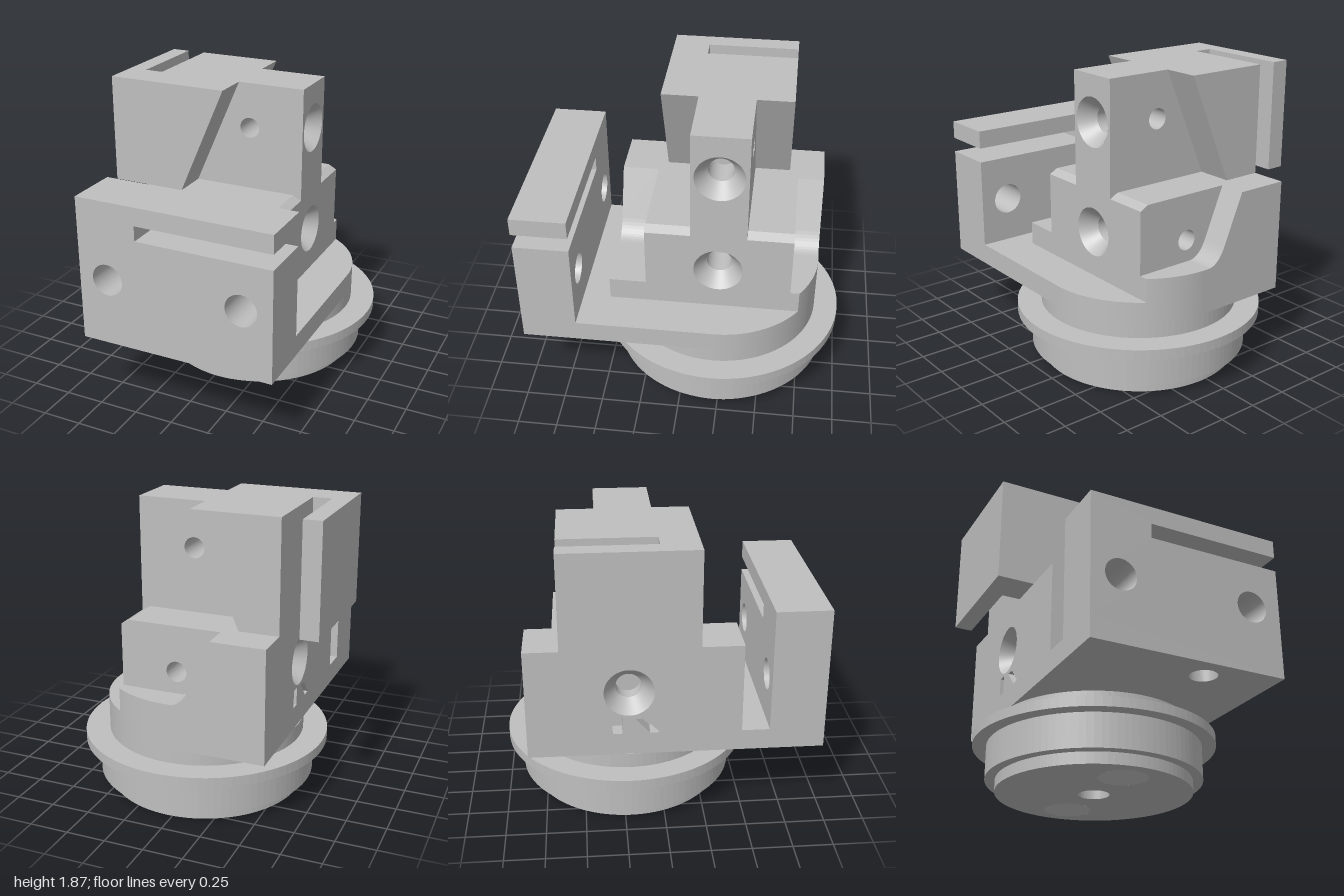
import * as THREE from 'three';

export function createModel() {
  const model = new THREE.Group();
  model.name = 'clampMount';
  const metal = new THREE.MeshStandardMaterial({ color: 0xbfbfbf, side: THREE.DoubleSide });
  metal.name = 'plain grey';

  const CX = 0.035, CZ = -0.215;      // axis of the round base
  const R = 0.63, SINK = 0.155, BORE = 0.08, PIN = 0.065;

  const add = (name, geometry) => {
    const mesh = new THREE.Mesh(geometry, metal);
    mesh.name = name;
    model.add(mesh);
    return mesh;
  };
  const poly = (pts) => new THREE.Shape(pts.map(([a, b]) => new THREE.Vector2(a, b)));
  const rect = (a0, a1, b0, b1) => poly([[a0, b0], [a1, b0], [a1, b1], [a0, b1]]);
  const disc = (a, b, r) => new THREE.Shape().absarc(a, b, r, 0, Math.PI * 2, false);
  const cut = (shape, ...holes) => { shape.holes.push(...holes); return shape; };
  const extrude = (shape, depth) =>
    new THREE.ExtrudeGeometry(shape, { depth, bevelEnabled: false, curveSegments: 48 });

  // Extrusions along each axis; shapes for X and Y use -z as a coordinate
  const alongZ = (name, shape, z0, z1) => add(name, extrude(shape, z1 - z0).translate(0, 0, z0));
  const alongY = (name, shape, y0, y1) =>
    add(name, extrude(shape, y1 - y0).rotateX(-Math.PI / 2).translate(0, y0, 0));
  const alongX = (name, shape, x0, x1) =>
    add(name, extrude(shape, x1 - x0).rotateY(Math.PI / 2).translate(x0, 0, 0));
  const box = (name, x0, x1, y0, y1, z0, z1) => alongZ(name, rect(x0, x1, y0, y1), z0, z1);
  const cone = (name, depth, rx, rz, x, y, z) =>
    add(name, new THREE.CylinderGeometry(SINK, BORE, depth, 48, 1, true)
      .rotateX(rx).rotateZ(rz).translate(x, y, z));

  // Round stepped base with screw holes underneath
  const baseHoles = (r) => [disc(CX, -CZ, 0.1), disc(CX, -CZ + 0.4, r), disc(CX, -CZ - 0.4, r)];
  alongY('baseFoot', cut(disc(CX, -CZ, R), ...baseHoles(SINK)), 0, 0.075);
  alongY('baseDrum', cut(disc(CX, -CZ, 0.695), ...baseHoles(BORE)), 0.075, 0.295);
  alongY('baseFlange', disc(CX, -CZ, 0.785), 0.295, 0.36);
  alongY('baseNeck', disc(CX, -CZ, R), 0.36, 0.455);
  for (const s of [-1, 1]) cone('baseCountersink', 0.075, Math.PI, 0, CX, 0.0375, CZ + s * 0.4);

  // Floor slab, rounded at one back corner
  const floor = new THREE.Shape();
  floor.moveTo(-0.59, -1);
  floor.lineTo(0.665, -1);
  floor.lineTo(0.665, -CZ);
  floor.absarc(CX, -CZ, R, 0, Math.PI / 2, false);
  floor.lineTo(-0.59, 0.845);
  floor.closePath();
  alongY('floorSlab', cut(floor, disc(0.22, -0.83, 0.085)), 0.455, 0.59);

  // Front clamp plate with a slit and two holes
  const plate = poly([[-0.59, 0.59], [0.665, 0.59], [0.665, 1.17], [-0.2, 1.17],
    [-0.2, 1.265], [0.665, 1.265], [0.665, 1.38], [-0.59, 1.38]]);
  alongZ('frontPlate', cut(plate, disc(-0.4, 0.88, 0.1), disc(0.47, 0.88, 0.1)), 0.655, 1);

  // Middle block, sliced so the bores can meet
  const MY = 0.88, TY = 1.575;
  alongZ('middleCore', cut(rect(-0.4, 0.12, 0.59, 1.17), disc(CX, MY, PIN)), -0.675, 0.245);
  alongX('middleBore', cut(rect(-0.245, 0.675, 0.59, 1.17), disc(-CZ, MY, BORE)), 0.12, 0.295);
  alongX('middleFace', cut(rect(-0.245, 0.675, 0.59, 1.14), disc(-CZ, MY, SINK)), 0.295, 0.395);
  alongZ('middleChamfer', poly([[0.295, 1.14], [0.395, 1.14], [0.34, 1.17], [0.295, 1.17]]), -0.675, 0.245);
  cone('middleCountersink', 0.1, 0, -Math.PI / 2, 0.345, MY, CZ);

  // Left wall of the middle block, with its bore and two narrow slots
  const leftWall = cut(rect(-0.48, 0.845, 0.59, 1.17), disc(-CZ, MY, SINK),
    rect(0.26, 0.32, 0.6, 0.715), poly([[0.03, 0.6], [0.09, 0.6], [0.18, 0.7], [0.12, 0.7]]));
  alongX('leftWall', leftWall, -0.59, -0.49);
  alongX('leftBore', cut(rect(-0.48, 0.845, 0.59, 1.17), disc(-CZ, MY, BORE)), -0.49, -0.4);
  cone('leftCountersink', 0.1, 0, Math.PI / 2, -0.54, MY, CZ);

  // Sloping wings either side, running into low ledges
  for (const [z0, z1] of [[-0.845, -0.675], [0.245, 0.48]]) {
    const wing = new THREE.Shape();
    wing.moveTo(-0.4, 0.59);
    wing.lineTo(CX, 0.59);
    wing.lineTo(CX, 0.74);
    wing.lineTo(0.01, 0.74);
    wing.quadraticCurveTo(-0.075, 0.74, -0.125, 0.87);
    wing.lineTo(-0.25, 1.17);
    wing.lineTo(-0.4, 1.17);
    wing.closePath();
    add('wing', new THREE.ExtrudeGeometry(wing, { depth: z1 - z0, bevelEnabled: false, curveSegments: 10 })
      .translate(0, 0, z0));
  }
  box('frontLedge', CX, 0.395, 0.59, 0.74, 0.245, 0.48);
  const backLedge = new THREE.Shape();
  backLedge.moveTo(CX, 0.675);
  backLedge.lineTo(0.395, 0.675);
  backLedge.absarc(CX, -CZ, R, Math.acos((0.395 - CX) / R), Math.PI / 2, false);
  backLedge.closePath();
  alongY('backLedge', backLedge, 0.59, 0.74);

  // Narrow tower with crossing bores
  alongZ('towerCore', cut(rect(-0.4, 0.12, 1.17, 1.865), disc(CX, TY, PIN)), -0.39, -0.04);
  alongX('towerBore', cut(rect(0.04, 0.39, 1.17, 1.865), disc(-CZ, TY, BORE)), 0.12, 0.295);
  alongX('towerFace', cut(rect(0.04, 0.39, 1.14, 1.865), disc(-CZ, TY, SINK)), 0.295, 0.395);
  cone('towerCountersink', 0.1, 0, -Math.PI / 2, 0.345, TY, CZ);

  // Wide head with an undercut slope and a slotted overhang on its outer side
  alongZ('head', poly([[-0.59, 1.17], [-0.34, 1.17], [-0.04, 1.865], [-0.59, 1.865]]), -0.62, 0.19);
  alongY('headOverhang', poly([[-0.825, -0.19], [-0.59, -0.19], [-0.59, 0.04], [-0.71, 0.04],
    [-0.71, 0.62], [-0.825, 0.62]]), 1.17, 1.865);

  return model;
}
